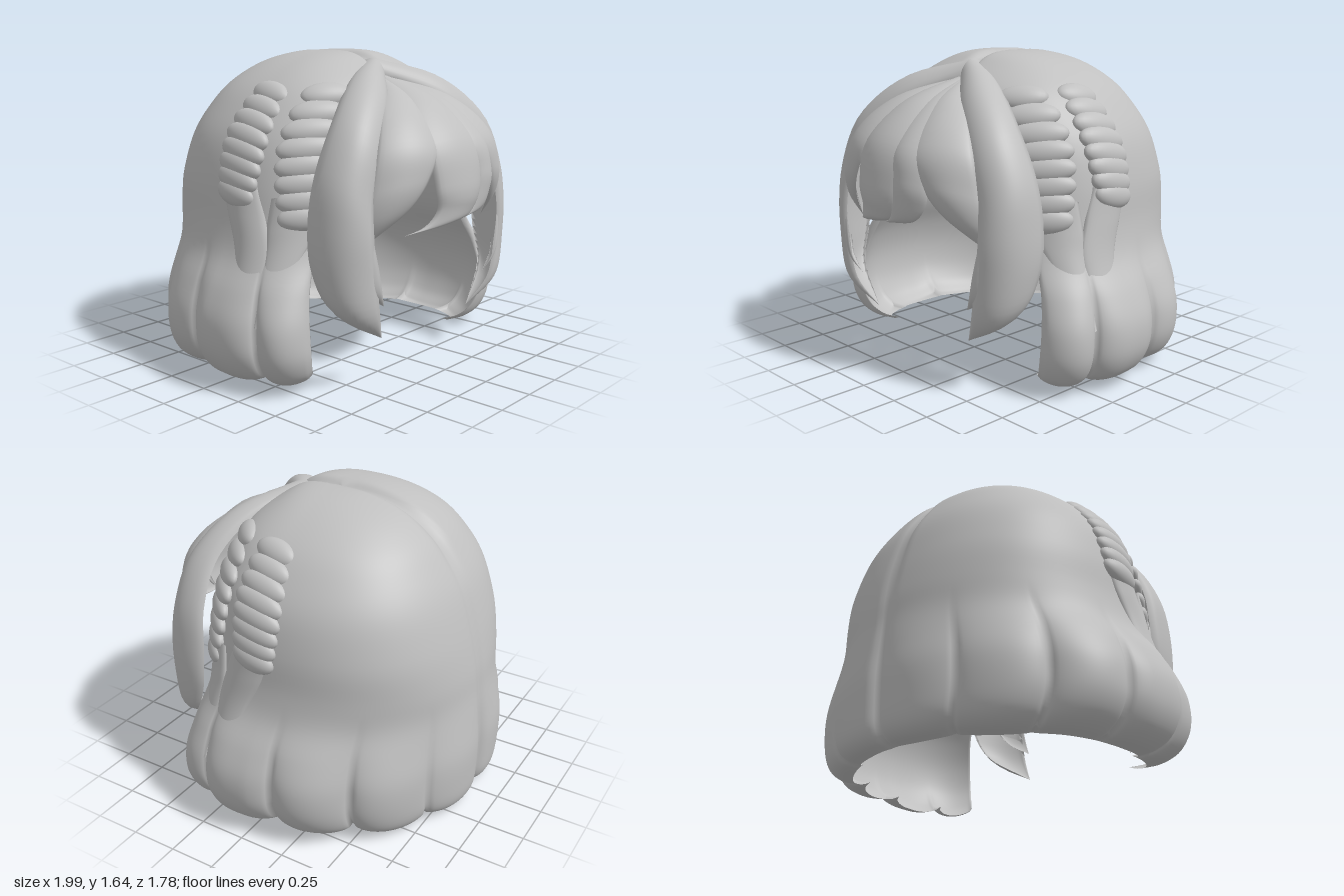
import * as THREE from 'three';

const hair = new THREE.MeshStandardMaterial({ color: 0xc0c0c0, side: THREE.DoubleSide });
hair.name = 'hairGrey';
const V = (x, y, z) => new THREE.Vector3(x, y, z);
const spline = pts => new THREE.CatmullRomCurve3(pts, false, 'catmullrom', 0.5);
const smooth = THREE.MathUtils.smoothstep;

// Skin a stack of closed rings; faces are turned outwards by signed volume.
function loft(name, rings) {
  const n = rings[0].length, pts = rings.flat(), idx = [];
  for (let j = 0; j < rings.length - 1; j++) {
    for (let i = 0; i < n; i++) {
      const a = j * n + i, b = j * n + (i + 1) % n;
      idx.push(a, b, a + n, b, b + n, a + n);
    }
  }
  let volume = 0;
  const c = V(0, 0, 0);
  for (let k = 0; k < idx.length; k += 3) {
    volume += c.crossVectors(pts[idx[k]], pts[idx[k + 1]]).dot(pts[idx[k + 2]]);
  }
  if (volume < 0) idx.reverse();
  const g = new THREE.BufferGeometry().setFromPoints(pts);
  g.setIndex(idx);
  g.computeVertexNormals();
  const m = new THREE.Mesh(g, hair);
  m.name = name;
  return m;
}

// Cap sections: height, half width, back reach, front reach, inner scale, inner drop
const CAP = [
  [1.64, 0, 0, 0, 0.95, 0.05],
  [1.625, 0.2, 0.2, 0.16, 0.95, 0.05],
  [1.57, 0.37, 0.39, 0.27, 0.95, 0.04],
  [1.47, 0.53, 0.54, 0.4, 0.95, 0.03],
  [1.35, 0.64, 0.64, 0.46, 0.95, 0.02],
  [1.2, 0.73, 0.725, 0.49, 0.95, 0.01],
  [1.0, 0.78, 0.79, 0.51, 0.95, 0],
  [0.8, 0.8, 0.835, 0.52, 0.95, 0],
  [0.65, 0.84, 0.855, 0.54, 0.95, 0],
  [0.5, 0.93, 0.88, 0.59, 0.94, 0],
  [0.35, 0.99, 0.9, 0.64, 0.92, 0],
  [0.2, 0.99, 0.9, 0.65, 0.91, 0],
  [0.08, 0.94, 0.89, 0.61, 0.91, 0],
  [0.02, 0.86, 0.85, 0.54, 0.93, 0],
  [0, 0.77, 0.78, 0.46, 1, 0],
];
const sizeCurve = spline(CAP.map(r => V(r[1], r[2], r[3])));
const wallCurve = spline(CAP.map(r => V(r[0], r[4], r[5])));
const LOBE = 0.47, EDGE = 5 * LOBE;
// Squareness of a section: round behind the hem, boxy in front of it
const squareness = (y, front) => THREE.MathUtils.lerp(front ? 3 : 2, 2.45, smooth(y, 0.5, 1));

function makeCap() {
  const rings = [], M = 200, ROWS = 70;
  for (let j = 0; j <= ROWS; j++) {
    const size = sizeCurve.getPoint(j / ROWS), wall = wallCurve.getPoint(j / ROWS);
    const y = Math.max(0, wall.x);
    const reach = EDGE + (Math.PI - EDGE) * smooth(y, 1.12, 1.38);
    const outer = [], inner = [];
    for (let i = 0; i <= M; i++) {
      const a = (i / M * 2 - 1) * reach, s = Math.sin(a), c = Math.cos(a);
      const e = 2 / squareness(y, c < 0);
      const x = size.x * Math.sign(s) * Math.abs(s) ** e;
      const z = -Math.sign(c) * Math.abs(c) ** e * (c > 0 ? size.y : size.z);
      // scalloped hem and centre parting; the inside stays smooth down to the rim
      const gap = 1 - Math.abs(Math.sin(Math.PI * a / LOBE)) ** 0.5;
      const depth = (0.045 + 0.035 * smooth(Math.abs(a), 0.5, 1)) * (1 - smooth(y, 0.25, 0.75));
      const part = Math.exp(-((x / 0.035) ** 2));
      const ko = 1 - depth * gap - 0.02 * part;
      const ki = wall.y * (1 - depth * gap * smooth(wall.y, 0.96, 1) - 0.02 * part);
      const hem = (1 - smooth(y, 0, 0.3)) * (0.02 * smooth(z, -0.6, -0.3) + 0.03 * gap);
      const h = y + hem - 0.035 * part * smooth(y, 1.1, 1.5);
      outer.push(V(x * ko, h, z * ko));
      inner.push(V(x * ki, h - wall.z, z * ki));
    }
    rings.push([...outer, ...inner.reverse()]);
  }
  return loft('hairCap', rings);
}

// Point and horizontal normal angle on the cap's side for a given y and z
function onCap(y, z, lift = 0) {
  let lo = 0, hi = 1;
  for (let k = 0; k < 30; k++) {
    const mid = (lo + hi) / 2;
    if (wallCurve.getPoint(mid).x > y) lo = mid; else hi = mid;
  }
  const s = sizeCurve.getPoint(lo), depth = z > 0 ? s.z : s.y, pow = squareness(y, z > 0);
  const x = s.x * Math.max(0, 1 - Math.abs(z / depth) ** pow) ** (1 / pow);
  const nx = x ** (pow - 1) / s.x ** pow;
  const nz = Math.sign(z) * Math.abs(z) ** (pow - 1) / depth ** pow;
  const angle = Math.atan2(nz, nx);
  return { p: V(x + Math.cos(angle) * lift, y, z + Math.sin(angle) * lift), angle };
}

// Tapered hollow lock between two edge curves, bulging away from the head
function strand(name, rows, side = 1, bulge = 0.18, cap = 0.055) {
  const ea = spline(rows.map(r => r[0])), eb = spline(rows.map(r => r[1]));
  const rings = [], N = 16, ROWS = 36;
  for (let j = 0; j <= ROWS; j++) {
    const a = ea.getPoint(j / ROWS), b = eb.getPoint(j / ROWS);
    const h = Math.min(cap, a.distanceTo(b) * bulge);
    const out = a.clone().add(b).multiplyScalar(0.5).sub(V(0, 0.75, 0)).normalize();
    const ring = [];
    const put = (s, k) => {
      const p = a.clone().lerp(b, s).addScaledVector(out, k * h * Math.sin(Math.PI * s) ** 0.65);
      p.x *= side;
      ring.push(p);
    };
    for (let i = 0; i <= N; i++) put(i / N, 1);
    for (let i = N - 1; i > 0; i--) put(i / N, 0.45);
    rings.push(ring);
  }
  return loft(name, rings);
}

// Fringe rows are [x, y, x, y]; depth follows a curved forehead surface
const fringeZ = (x, y) => 0.86 - 0.75 * x * x
  - (y > 1 ? 3 * (y - 1) ** 2.5 : 0.8 * (1 - y) ** 2);
const fringe = (name, rows, side) => strand(name,
  rows.map(([x, y, u, v]) => [V(x, y, fringeZ(x, y)), V(u, v, fringeZ(u, v))]), side);

// Column of overlapping plaited lumps sinking into the cap towards the top
function braid(name, z0, z1, yLow, width, tilt, side) {
  const g = new THREE.Group(), ball = new THREE.SphereGeometry(1, 24, 16), COUNT = 8;
  g.name = name;
  for (let i = 0; i < COUNT; i++) {
    const f = i / (COUNT - 1), y = yLow + (1.43 - yLow) * f;
    const { p, angle } = onCap(y, z0 + (z1 - z0) * f, -0.03 * f * f);
    const m = new THREE.Mesh(ball, hair);
    m.name = 'braidLump';
    m.position.set(p.x * side, p.y, p.z);
    m.scale.set(0.05, 0.068, width * (0.85 + 0.15 * Math.sin(Math.PI * f)));
    m.rotation.order = 'YZX';
    m.rotation.set(tilt * side, -angle * side, (0.1 + 0.6 * f * f) * side);
    g.add(m);
  }
  return g;
}

export function createModel() {
  const model = new THREE.Group();
  model.name = 'bobbedHair';
  model.add(makeCap());

  // centre fringe
  model.add(fringe('centreFringe', [
    [-0.02, 1.51, 0.02, 1.51], [-0.16, 1.38, 0.12, 1.38], [-0.23, 1.2, 0.15, 1.2],
    [-0.22, 1.0, 0.13, 1.0], [-0.2, 0.89, 0.08, 0.87], [-0.25, 0.81, -0.04, 0.82],
    [-0.34, 0.77, -0.34, 0.77]]));
  model.add(fringe('offsetFringe', [
    [0, 1.51, 0.02, 1.51], [0, 1.38, 0.2, 1.38], [0.05, 1.2, 0.26, 1.2],
    [0.09, 1.05, 0.29, 1.03], [0.08, 0.94, 0.27, 0.93], [0.05, 0.86, 0.19, 0.85],
    [0, 0.82, 0, 0.82]]));

  for (const side of [1, -1]) {
    model.add(fringe('sideFringe', [
      [0.01, 1.5, 0.03, 1.5], [0.06, 1.38, 0.29, 1.38], [0.16, 1.2, 0.46, 1.2],
      [0.25, 1.05, 0.52, 1.0], [0.35, 0.9, 0.54, 0.85], [0.5, 0.73, 0.5, 0.73]], side));

    // long face-framing lock and its small split end
    model.add(strand('sideLock', [
      [V(0, 1.57, 0.18), V(0, 1.51, 0.33)],
      [V(0.3, 1.48, 0.33), V(0.22, 1.39, 0.53)],
      [V(0.52, 1.31, 0.42), V(0.42, 1.18, 0.65)],
      [V(0.65, 1.08, 0.43), V(0.51, 0.95, 0.68)],
      [V(0.69, 0.85, 0.42), V(0.53, 0.78, 0.7)],
      [V(0.69, 0.62, 0.44), V(0.51, 0.6, 0.7)],
      [V(0.63, 0.42, 0.52), V(0.47, 0.4, 0.69)],
      [V(0.37, 0.24, 0.62), V(0.37, 0.24, 0.62)]], side, 0.32, 0.1));
    model.add(strand('lockSplitEnd', [
      [V(0.64, 0.85, 0.6), V(0.55, 0.85, 0.69)],
      [V(0.64, 0.65, 0.6), V(0.51, 0.65, 0.71)],
      [V(0.57, 0.52, 0.64), V(0.48, 0.52, 0.71)],
      [V(0.43, 0.43, 0.68), V(0.43, 0.43, 0.68)]], side));

    // twin braids, each with a loose tail
    model.add(braid('frontBraid', 0.36, 0.32, 0.86, 0.155, 0.08, side));
    model.add(braid('rearBraid', 0.03, 0.04, 0.96, 0.145, -0.2, side));
    const tail = rows => rows.map(([y, za, zb, lift]) => [onCap(y, za, lift).p, onCap(y, zb, lift).p]);
    model.add(strand('rearBraidTail', tail([
      [1.02, -0.09, 0.15, 0], [0.85, -0.02, 0.21, 0], [0.65, 0.06, 0.26, -0.01],
      [0.35, 0.14, 0.22, -0.05]]), side));
    model.add(strand('frontBraidTail', tail([
      [0.95, 0.23, 0.42, 0], [0.8, 0.22, 0.41, 0], [0.65, 0.24, 0.39, -0.01],
      [0.35, 0.29, 0.35, -0.05]]), side));
  }
  return model;
}
